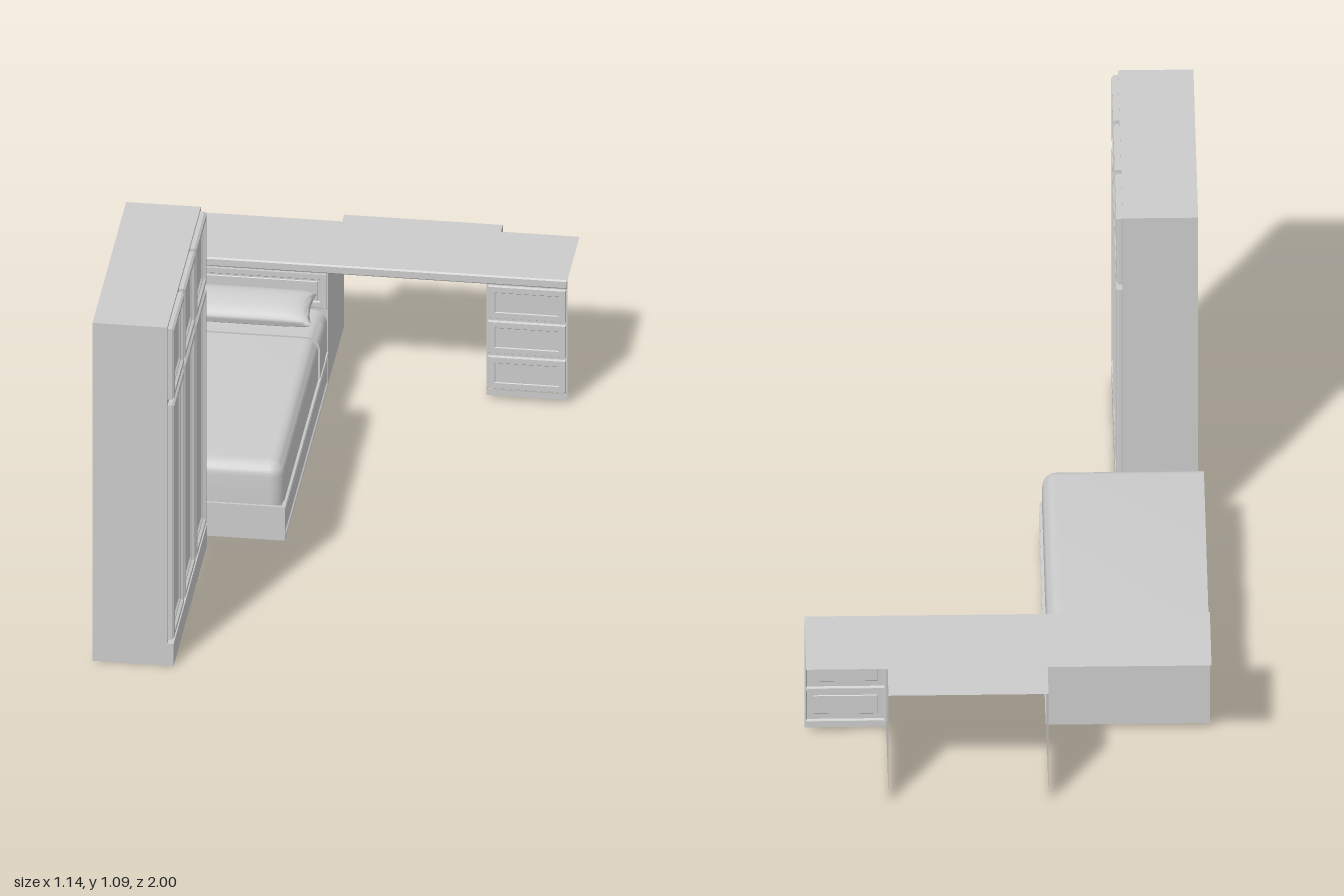
import * as THREE from 'three';
import { toCreasedNormals } from 'three/addons/utils/BufferGeometryUtils.js';

const grey = new THREE.MeshStandardMaterial({ color: 0xcccccc, side: THREE.DoubleSide });
const V = (x, y, z) => new THREE.Vector3(x, y, z);

function add(parent, name, geometry, x = 0, y = 0, z = 0) {
  const mesh = new THREE.Mesh(geometry, grey);
  mesh.name = name;
  mesh.position.set(x, y, z);
  parent.add(mesh);
  return mesh;
}

// Skin between successive rows of points
function loft(rows, crease = 0.6) {
  const pos = [];
  for (let i = 0; i + 1 < rows.length; i++) {
    for (let k = 0; k + 1 < rows[i].length; k++) {
      const a = rows[i][k], b = rows[i][k + 1], c = rows[i + 1][k + 1], d = rows[i + 1][k];
      for (const p of [a, b, c, a, c, d]) pos.push(p.x, p.y, p.z);
    }
  }
  const g = new THREE.BufferGeometry();
  g.setAttribute('position', new THREE.Float32BufferAttribute(pos, 3));
  return toCreasedNormals(g, crease);
}

// Moulded panel facing +z: nested rectangles given as [inset, height]
function relief(w, h, steps) {
  const rect = (i, d) => {
    const x = Math.max(w / 2 - i, 0), y = Math.max(h / 2 - i, 0);
    return [V(-x, -y, d), V(x, -y, d), V(x, y, d), V(-x, y, d), V(-x, -y, d)];
  };
  const rows = steps.map(([i, d]) => rect(i, d));
  rows.push(Array(5).fill(V(0, 0, steps[steps.length - 1][1])));
  return loft(rows, 0.2);
}

// Thin boards: across z (facing x), across x (facing z), and flat
const sideBoard = (p, name, x, y0, y1, z0, z1) =>
  add(p, name, new THREE.PlaneGeometry(z1 - z0, y1 - y0).rotateY(Math.PI / 2), x, (y0 + y1) / 2, (z0 + z1) / 2);
const frontBoard = (p, name, x0, x1, y0, y1, z) =>
  add(p, name, new THREE.PlaneGeometry(x1 - x0, y1 - y0), (x0 + x1) / 2, (y0 + y1) / 2, z);
const flatBoard = (p, name, x0, x1, y, z0, z1) =>
  add(p, name, new THREE.PlaneGeometry(x1 - x0, z1 - z0).rotateX(-Math.PI / 2), (x0 + x1) / 2, y, (z0 + z1) / 2);

function group(parent, name) {
  const g = new THREE.Group();
  g.name = name;
  parent.add(g);
  return g;
}

function buildWardrobe(root) {
  const g = group(root, 'wardrobe');
  const back = -0.555, face = -0.343, front = -0.325, z0 = 0.29, z1 = 1;
  frontBoard(g, 'wardrobeSide', back, face, 0, 1.085, z1);
  frontBoard(g, 'wardrobeSide', back, face, 0, 1.085, z0).rotation.y = Math.PI;
  flatBoard(g, 'wardrobeTop', back, face, 1.085, z0, z1);
  add(g, 'plinth', new THREE.BoxGeometry(front - face, 0.07, z1 - z0), (front + face) / 2, 0.035, (z0 + z1) / 2);
  const steps = [[0, 0], [0.009, 0], [0.009, 0.012], [0.014, 0.018], [0.028, 0.018],
    [0.031, 0.011], [0.036, 0.011], [0.04, 0.006]];
  const w = (z1 - z0) / 3;
  for (const [y0, y1, name] of [[0.07, 0.84, 'tallDoor'], [0.84, 1.085, 'upperDoor']]) {
    for (let i = 0; i < 3; i++) {
      const door = add(g, name, relief(w, y1 - y0, steps), face, (y0 + y1) / 2, z0 + w * (i + 0.5));
      door.rotation.y = Math.PI / 2;
    }
  }
}

function buildBed(root) {
  const g = group(root, 'bed');
  const left = -0.57, side = -0.115, foot = 0.255, head = -0.655;

  // Base: plain foot board and a moulded side rail
  add(g, 'footBoard', new THREE.BoxGeometry(0.46, 0.107, 0.008), -0.34, 0.0685, 0.258);
  const rail = add(g, 'sideRail', relief(0.917, 0.107, [[0, 0], [0.002, 0.01], [0.008, 0.01],
    [0.012, 0.005], [0.018, 0.005], [0.02, 0.008]]), -0.118, 0.0685, -0.1965);
  rail.rotation.y = Math.PI / 2;

  // Mattress: rounded profile carried around the foot corner
  const R = 0.04, top = 0.25;
  const profile = [[0, 0.12]];
  for (let i = 0; i <= 6; i++) {
    const a = i / 6 * Math.PI / 2;
    profile.push([R * (1 - Math.cos(a)), top - R + R * Math.sin(a)]);
  }
  const rows = profile.map(([d, y]) => {
    const row = [V(left, y, foot - d)];
    for (let i = 0; i <= 6; i++) {
      const a = i / 6 * Math.PI / 2;
      row.push(V(side - R + (R - d) * Math.sin(a), y, foot - R + (R - d) * Math.cos(a)));
    }
    row.push(V(side - d, y, head));
    return row;
  });
  rows.push(Array(rows[0].length).fill(V(left, top, head)));
  add(g, 'mattress', loft(rows));

  // Folded covers near the pillow
  for (const [z0, z1, t] of [[-0.6, -0.49, 0.005], [head, -0.6, 0.003]]) {
    const line = (z, out) => [...profile.map(([d, y]) => V(side - d + out, y + out, z)), V(left, top + out, z)];
    add(g, 'foldedCover', loft([line(z1, 0), line(z1, t), line(z0, t), line(z0, 0)].reverse()));
  }

  // Pillow: cushion with pinched ends, leaning on the headboard
  const geo = new THREE.BoxGeometry(2, 2, 2, 28, 1, 14);
  const p = geo.attributes.position;
  for (let i = 0; i < p.count; i++) {
    const u = Math.sin(p.getX(i) * Math.PI / 2), v = Math.sin(p.getZ(i) * Math.PI / 2);
    const thick = Math.sqrt(Math.max(0, (1 - u ** 6) * (1 - v * v)));
    p.setXYZ(i, u * 0.193 * (1 - 0.07 * (1 - v * v)), p.getY(i) * 0.032 * thick, v * 0.068);
  }
  add(g, 'pillow', toCreasedNormals(geo, 1.2), -0.33, 0.293, -0.584).rotation.x = 0.28;

  // Headboard
  frontBoard(g, 'headboardLower', left, -0.11, 0.015, 0.258, head);
  add(g, 'headboardPanel', relief(0.46, 0.114, [[0, 0], [0.004, 0], [0.004, 0.007], [0.02, 0.007],
    [0.023, 0.003], [0.028, 0.003], [0.03, 0.005]]), -0.34, 0.315, head - 0.004);
}

function buildDesk(root) {
  const g = group(root, 'desk');
  const z0 = -1, z1 = -0.655;
  flatBoard(g, 'desktop', -0.57, 0.57, 0.4, -0.91, z1);
  add(g, 'desktopEdge', relief(1.14, 0.028, [[0, 0], [0.004, 0.004], [0.006, 0.004]]), 0, 0.386, z1);
  flatBoard(g, 'rearShelf', -0.11, 0.34, 0.372, z0, z1);
  sideBoard(g, 'deskSide', -0.11, 0.015, 0.372, z0, z1);
  sideBoard(g, 'deskSide', 0.34, 0.015, 0.372, z0, z1).rotation.y = Math.PI;

  // Stack of three drawers
  frontBoard(g, 'drawerPlinth', 0.34, 0.57, 0.015, 0.034, z1);
  const h = (0.372 - 0.034) / 3;
  for (let i = 0; i < 3; i++) {
    add(g, 'drawer', relief(0.23, h, [[0, 0], [0.004, 0], [0.004, 0.003], [0.007, 0.008], [0.024, 0.008],
      [0.026, 0.006]]), 0.455, 0.034 + h * (i + 0.5), z1 - 0.003);
  }
}

export function createModel() {
  const root = new THREE.Group();
  root.name = 'bedroomSet';
  buildWardrobe(root);
  buildBed(root);
  buildDesk(root);
  return root;
}
